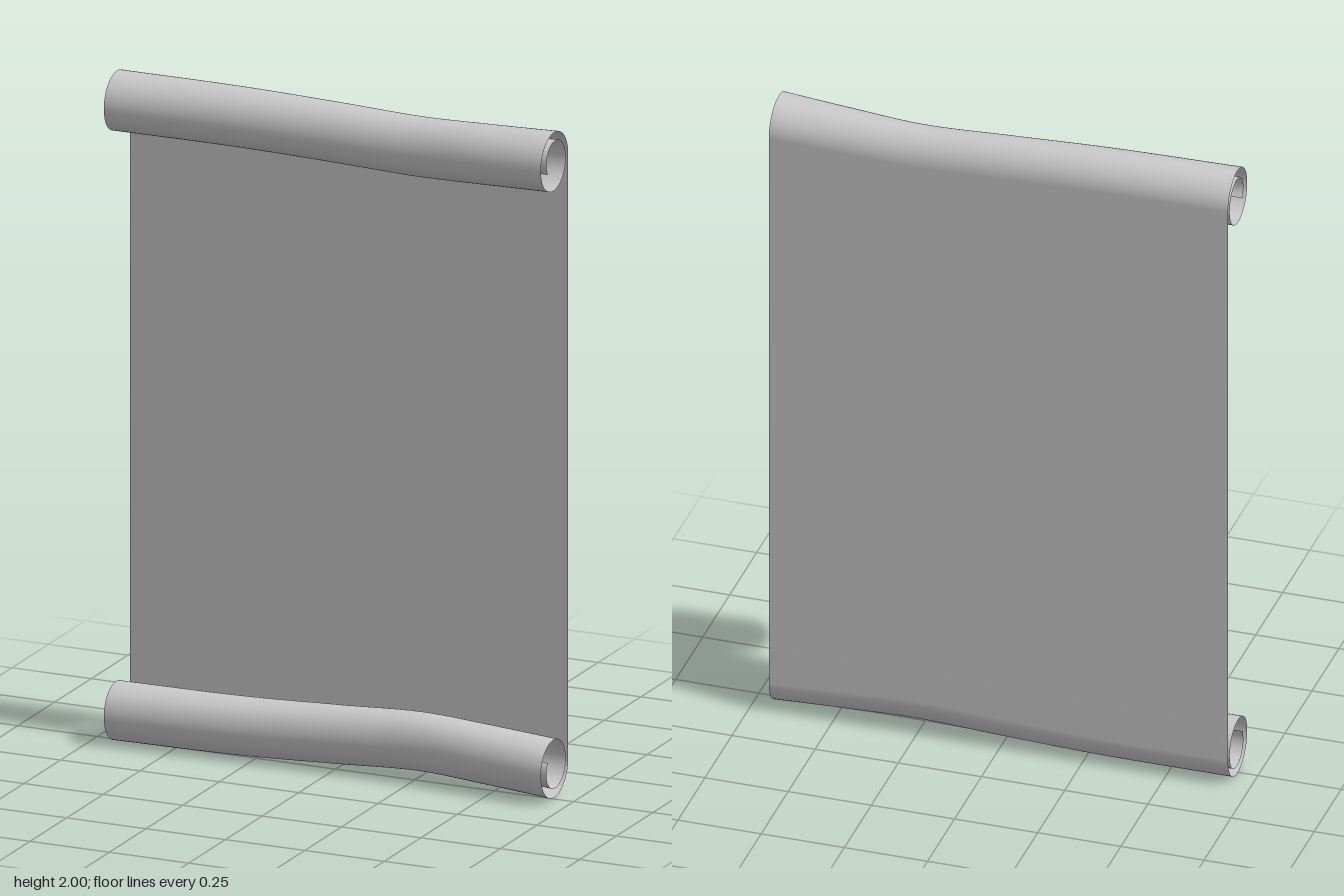
import * as THREE from 'three';

const R = 0.09;            // outer radius of a roll
const BACK = -0.093;       // plane of the hanging sheet
const TURN = THREE.MathUtils.degToRad(570);
const STEPS = 72;          // rows in each roll
const SHEET_ROWS = 8;
const COLS = 40;

// Warp along the width: x, sag of the roll towards the middle, front depth of the roll
const warp = new THREE.CatmullRomCurve3([
  new THREE.Vector3(-0.69, 0, 0.085),
  new THREE.Vector3(-0.3, 0.002, 0.072),
  new THREE.Vector3(0, 0.011, 0.061),
  new THREE.Vector3(0.26, 0.02, 0.057),
  new THREE.Vector3(0.48, 0.013, 0.074),
  new THREE.Vector3(0.69, 0.004, 0.093),
]);

// Spiral radius: a full outer curl that then winds inwards
function spiralRadius(a) {
  const start = Math.PI * 1.2;
  return a < start ? R : THREE.MathUtils.lerp(R, 0.05, (a - start) / (TURN - start));
}

// Cross-section from the inner end of the upper roll, down the sheet, to the inner end of the lower roll
function section(row, w) {
  const last = 2 * STEPS + SHEET_ROWS;
  const lower = row > STEPS + SHEET_ROWS / 2;
  const k = lower ? last - row : row;
  const sag = lower ? w.y * 1.3 : w.y;
  const a = TURN * Math.max(0, 1 - k / STEPS);
  const r = spiralRadius(a);
  const centre = 2 - R - sag;
  let y = centre + r * Math.sin(a);
  if (k > STEPS) y = THREE.MathUtils.lerp(centre, 1, (k - STEPS) / (SHEET_ROWS / 2));
  const squash = (w.z - BACK) / (2 * R);
  return { y: lower ? 2 - y : y, z: BACK + squash * (R - r * Math.cos(a)) };
}

export function createModel() {
  const group = new THREE.Group();
  group.name = 'scroll';

  // One continuous thin sheet, curled forwards at both ends
  const rows = 2 * STEPS + SHEET_ROWS;
  const geometry = new THREE.PlaneGeometry(1, 1, COLS, rows);
  const position = geometry.attributes.position;
  for (let col = 0; col <= COLS; col++) {
    const w = warp.getPoint(col / COLS);
    for (let row = 0; row <= rows; row++) {
      const p = section(row, w);
      position.setXYZ(row * (COLS + 1) + col, w.x, p.y, p.z);
    }
  }
  geometry.computeVertexNormals();

  const paper = new THREE.Mesh(
    geometry,
    new THREE.MeshStandardMaterial({ color: 0xcccccc, side: THREE.DoubleSide })
  );
  paper.name = 'rolledSheet';
  group.add(paper);
  return group;
}
